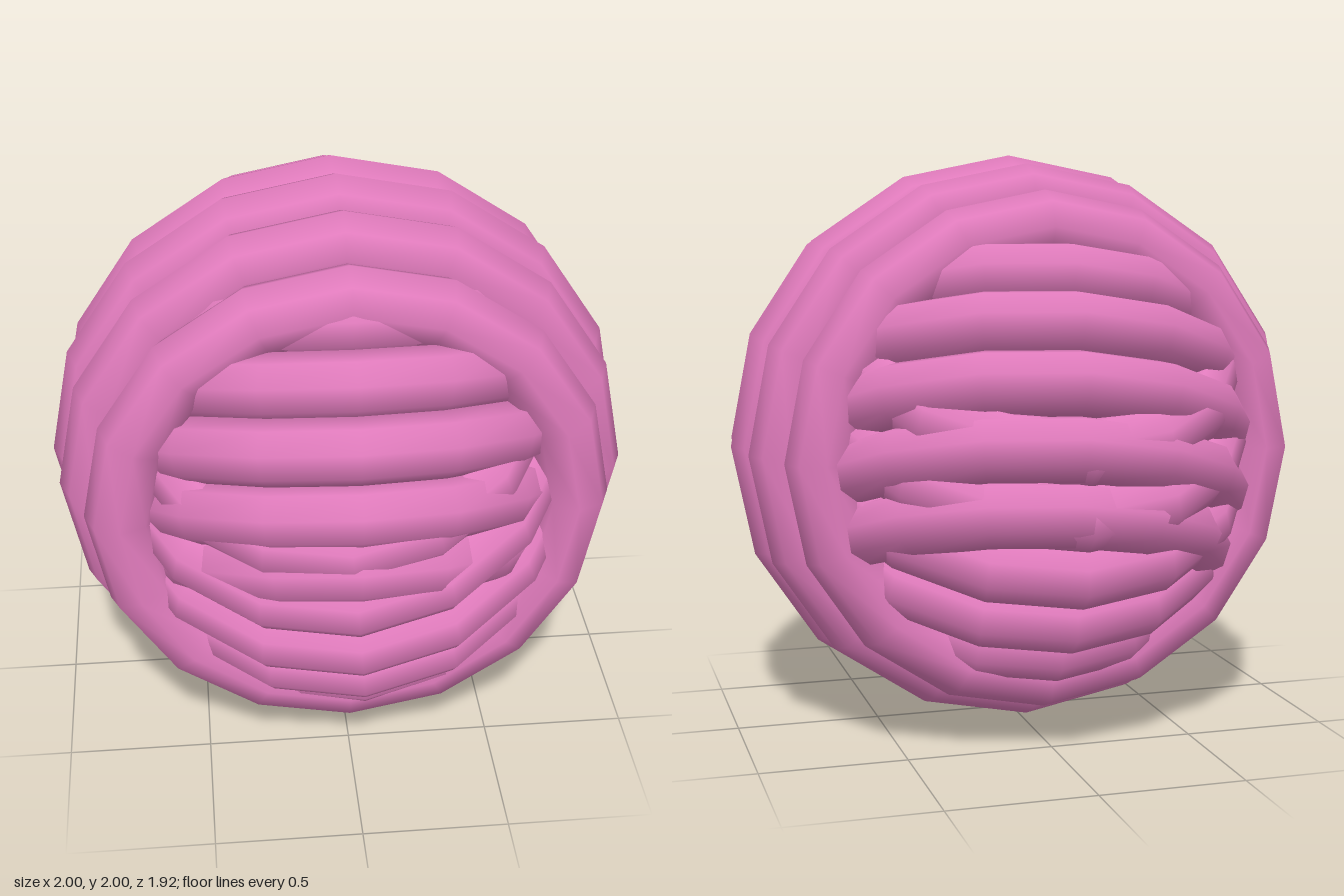
import * as THREE from 'three';

const BALL = 0.88;   // radius of the sphere the strand centres lie on
const STRAND = 0.12; // strand thickness radius

export function createModel() {
  const group = new THREE.Group();
  group.name = 'yarnBall';
  const yarn = new THREE.MeshStandardMaterial({ color: 0xe07bbc });

  // One winding: five parallel loops, 15 degrees apart, around the local y axis.
  // shape makes the loops oval: [width, spacing, length]
  function winding(name, shape, position, rotation) {
    const wrap = new THREE.Group();
    wrap.name = name;
    for (let i = -2; i <= 2; i++) {
      const angle = THREE.MathUtils.degToRad(15 * i);
      const loop = new THREE.TorusGeometry(BALL * Math.cos(angle), STRAND, 8, 16);
      loop.rotateX(Math.PI / 2);
      loop.translate(0, BALL * Math.sin(angle), 0);
      loop.scale(...shape);
      const mesh = new THREE.Mesh(loop, yarn);
      mesh.name = 'strandLoop' + (i + 3);
      wrap.add(mesh);
    }
    wrap.position.set(...position);
    wrap.rotation.set(...rotation.map(THREE.MathUtils.degToRad));
    group.add(wrap);
  }

  // Upright loops around the middle
  winding('uprightWinding', [1, 1, 1], [0, 1.003, 0.03], [90, 0, 0]);
  // Narrower loops inside, rising towards the front
  winding('frontRisingWinding', [0.83, 0.9, 0.98], [0, 1.03, -0.01], [-25, 0, 0]);
  // Narrower loops inside, rising towards the back and rolled slightly
  winding('backRisingWinding', [0.86, 0.9, 0.98], [0.01, 0.97, -0.02], [21.5, 0, 5]);

  return group;
}
